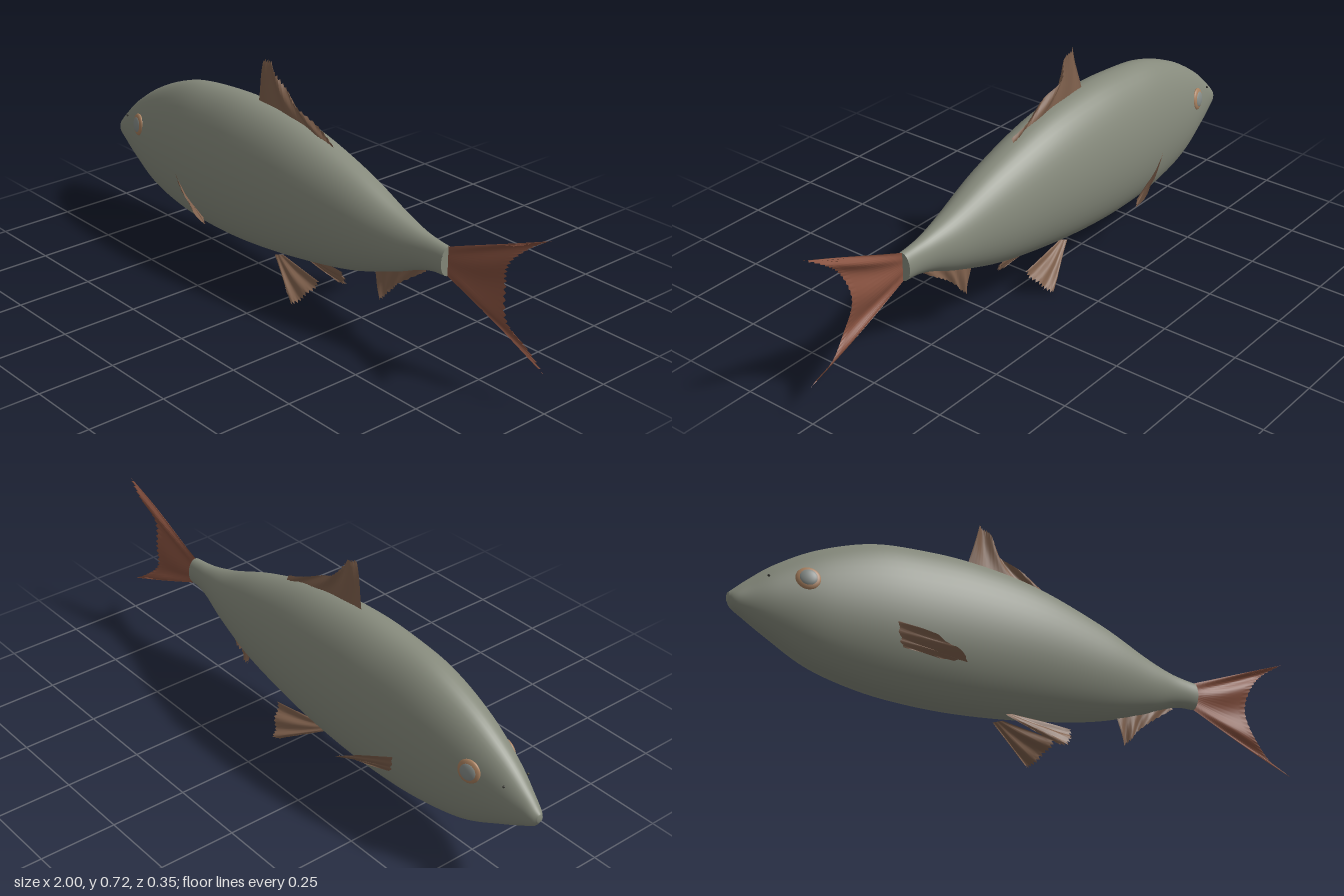
import * as THREE from 'three';

const paint = (name, color, side = THREE.FrontSide) => {
  const m = new THREE.MeshStandardMaterial({ color, side });
  m.name = name;
  return m;
};

const V = (p) => new THREE.Vector3(...p);
const spline = (pts) => new THREE.CatmullRomCurve3(pts.map(V), false, 'catmullrom', 0.5);

// Body stations: x, top y, bottom y, half width
const STATIONS = [
  [-1, 0.285, 0.26, 0.01], [-0.985, 0.3, 0.24, 0.022], [-0.95, 0.335, 0.22, 0.035],
  [-0.87, 0.405, 0.178, 0.062], [-0.74, 0.487, 0.117, 0.095], [-0.58, 0.55, 0.085, 0.12],
  [-0.42, 0.573, 0.077, 0.133], [-0.24, 0.579, 0.085, 0.138], [-0.02, 0.556, 0.113, 0.13],
  [0.22, 0.49, 0.16, 0.102], [0.4, 0.42, 0.22, 0.066], [0.5, 0.39, 0.263, 0.042],
  [0.56, 0.38, 0.28, 0.032], [0.61, 0.375, 0.283, 0.028],
];

// Smooth skin through elliptical cross-sections
function bodyGeometry(rings = 78, sides = 48) {
  const outline = spline(STATIONS.map(([x, t, b]) => [x, t, b]));
  const widths = spline(STATIONS.map(([x, , , w]) => [x, w, 0]));
  const pos = [], idx = [];
  for (let i = 0; i <= rings; i++) {
    const o = outline.getPoint(i / rings), w = widths.getPoint(i / rings).y;
    for (let j = 0; j < sides; j++) {
      const a = (j / sides) * Math.PI * 2;
      pos.push(o.x, (o.y + o.z) / 2 + ((o.y - o.z) / 2) * Math.cos(a), w * Math.sin(a));
    }
  }
  for (let i = 0; i < rings; i++) {
    for (let j = 0; j < sides; j++) {
      const a = i * sides + j, b = i * sides + ((j + 1) % sides);
      idx.push(a, b, a + sides, b, b + sides, a + sides);
    }
  }
  // Rounded-off nose
  const nose = pos.length / 3;
  pos.push(-1.002, 0.272, 0);
  for (let j = 0; j < sides; j++) idx.push(nose, (j + 1) % sides, j);
  const g = new THREE.BufferGeometry();
  g.setAttribute('position', new THREE.Float32BufferAttribute(pos, 3));
  g.setIndex(idx);
  g.computeVertexNormals();
  return g;
}

// Pleated sheet from a root line to a ragged outer line; ripple is the fold direction
function finGeometry(root, tip, ripple, rays = 24, rag = 0.04, steps = 8) {
  const inner = spline(root), outer = spline(tip), fold = V(ripple);
  const pos = [], idx = [];
  const n = rays * 2;
  for (let i = 0; i <= n; i++) {
    const u = i / n;
    const a = inner.getPoint(u), b = outer.getPoint(u);
    const reach = i % 2 && i < n ? 1 - rag : 1;
    for (let k = 0; k <= steps; k++) {
      const v = (k / steps) * reach;
      const wave = (i % 2 ? 0.22 : -0.22) + Math.sin(u * 17 + v * 2.5) * 0.75;
      const p = a.clone().lerp(b, v).addScaledVector(fold, wave * Math.min(1, v * 1.5));
      pos.push(p.x, p.y, p.z);
    }
  }
  const row = steps + 1;
  for (let i = 0; i < n; i++) {
    for (let k = 0; k < steps; k++) {
      const a = i * row + k;
      idx.push(a, a + row, a + 1, a + 1, a + row, a + row + 1);
    }
  }
  const g = new THREE.BufferGeometry();
  g.setAttribute('position', new THREE.Float32BufferAttribute(pos, 3));
  g.setIndex(idx);
  g.computeVertexNormals();
  return g;
}

export function createModel() {
  const fish = new THREE.Group();
  fish.name = 'fish';
  const skin = paint('greySkin', 0x868a7c);
  const finBrown = paint('finBrown', 0x80614d, THREE.DoubleSide);
  const tailRed = paint('tailRed', 0x87513f, THREE.DoubleSide);
  const irisTan = paint('irisTan', 0xa8805f);
  const pupilGrey = paint('pupilGrey', 0x868c88);
  const dark = paint('nostrilDark', 0x3a3a35);

  const add = (name, geometry, material, parent = fish) => {
    const m = new THREE.Mesh(geometry, material);
    m.name = name;
    parent.add(m);
    return m;
  };

  add('body', bodyGeometry(), skin);
  // Flat end of the tail stalk
  const stump = add('tailStump', new THREE.CircleGeometry(1, 40), skin);
  stump.rotation.y = Math.PI / 2;
  stump.scale.set(0.028, 0.046, 1);
  stump.position.set(0.61, 0.329, 0);

  // Fins on the midline
  add('tailFin', finGeometry(
    [[0.6, 0.372, 0], [0.6, 0.33, 0], [0.6, 0.286, 0]],
    [[0.99, 0.53, 0], [0.91, 0.475, 0], [0.85, 0.41, 0], [0.83, 0.33, 0],
      [0.85, 0.24, 0], [0.91, 0.18, 0], [0.995, 0.125, 0]],
    [0, 0, 0.009], 28, 0.035), tailRed);
  add('dorsalFin', finGeometry(
    [[-0.24, 0.565, 0], [-0.16, 0.56, 0], [-0.06, 0.55, 0], [0.04, 0.53, 0], [0.11, 0.51, 0]],
    [[-0.2, 0.728, 0.008], [-0.165, 0.715, 0.004], [-0.12, 0.65, -0.004], [-0.03, 0.6, 0], [0.11, 0.537, 0]],
    [0, 0, 0.009], 24, 0.06), finBrown);
  add('analFin', finGeometry(
    [[0.305, 0.2, 0], [0.36, 0.225, 0], [0.43, 0.26, 0], [0.52, 0.29, 0]],
    [[0.333, 0.097, 0], [0.36, 0.125, 0], [0.41, 0.18, 0], [0.525, 0.265, 0]],
    [0, 0, 0.008], 14, 0.08), finBrown);

  // Paired parts, mirrored across the midline
  for (const s of [1, -1]) {
    const prefix = s > 0 ? 'near' : 'far';
    const flip = (pts) => pts.map(([x, y, z]) => [x, y, z * s]);

    add(prefix + 'PectoralFin', finGeometry(
      flip([[-0.555, 0.275, 0.11], [-0.555, 0.24, 0.107], [-0.555, 0.205, 0.1]]),
      flip([[-0.42, 0.232, 0.164], [-0.36, 0.2, 0.175], [-0.32, 0.172, 0.168],
        [-0.34, 0.174, 0.148], [-0.43, 0.183, 0.125]]),
      [0, 0.003, 0.005 * s], 10, 0.02), finBrown);

    add(prefix + 'PelvicFin', finGeometry(
      flip([[-0.09, 0.105, 0.03], [-0.105, 0.1, 0.034], [-0.12, 0.095, 0.038]]),
      flip([[0.11, 0.088, 0.048], [0.095, 0.055, 0.07], [0.07, 0.025, 0.095],
        [0.05, 0.006, 0.11], [0.01, 0.025, 0.095]]),
      [0, 0.004, 0.005 * s], 14, 0.05), finBrown);

    // Eye: shallow lens with a tan rim, tilted to follow the head
    const eye = new THREE.Group();
    eye.name = prefix + 'Eye';
    eye.position.set(-0.793, 0.35, 0.077 * s);
    eye.rotation.set(-0.12 * s, s > 0 ? -0.25 : Math.PI + 0.25, 0);
    fish.add(eye);
    add('iris', new THREE.SphereGeometry(0.037, 28, 16), irisTan, eye).scale.z = 0.3;
    const pupil = add('pupil', new THREE.SphereGeometry(0.028, 28, 16), pupilGrey, eye);
    pupil.scale.z = 0.35;
    pupil.position.z = 0.004;

    // Nostril
    const nostril = add(prefix + 'Nostril', new THREE.SphereGeometry(0.004, 10, 8), dark);
    nostril.position.set(-0.9, 0.345, 0.047 * s);
  }
  return fish;
}
